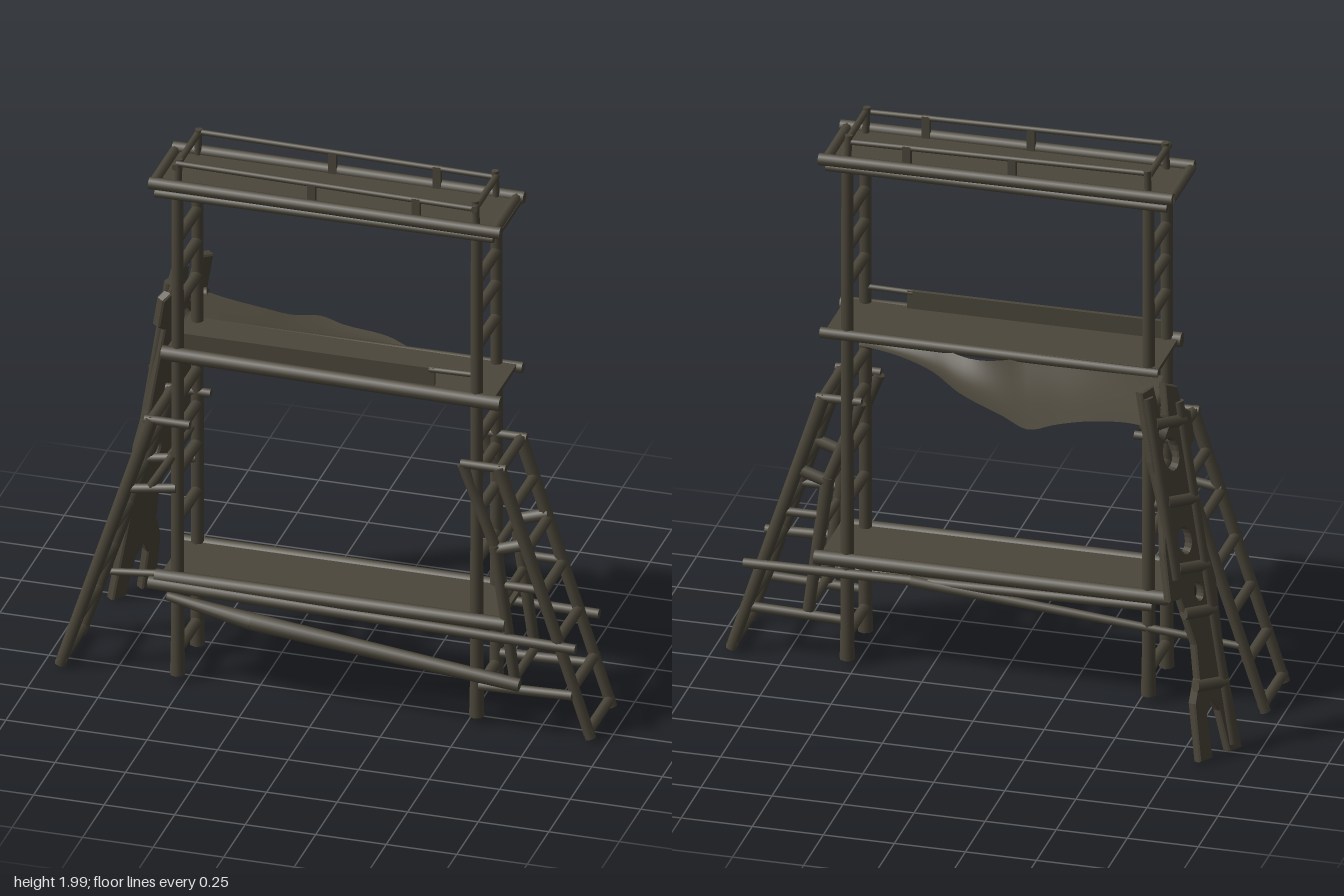
import * as THREE from 'three';

export function createModel() {
  const group = new THREE.Group();
  const wood = new THREE.MeshStandardMaterial({ color: 0x4b463a, side: THREE.DoubleSide });
  wood.name = 'weathered wood';
  const add = (name, geometry) => {
    const mesh = new THREE.Mesh(geometry, wood);
    mesh.name = name;
    group.add(mesh);
    return mesh;
  };
  const box = (name, x0, x1, y0, y1, z0, z1) =>
    add(name, new THREE.BoxGeometry(x1 - x0, y1 - y0, z1 - z0))
      .position.set((x0 + x1) / 2, (y0 + y1) / 2, (z0 + z1) / 2);
  // Round pole between two points, optionally tapered
  const pole = (name, a, b, r, r2 = r) => {
    const p = new THREE.Vector3(...a), q = new THREE.Vector3(...b);
    const d = q.clone().sub(p);
    const mesh = add(name, new THREE.CylinderGeometry(r2, r, d.length(), 8));
    mesh.position.copy(p).add(q).multiplyScalar(0.5);
    mesh.quaternion.setFromUnitVectors(new THREE.Vector3(0, 1, 0), d.normalize());
  };

  const zFront = 0.295, zBack = 0.065;

  // Tower posts and their rungs
  for (const s of [-1, 1]) {
    const x = 0.53 * s;
    for (const z of [zFront, zBack]) {
      pole('post', [x, 0.03, z], [x, 1.9, z], 0.024, 0.021);
      pole('postFoot', [x, 0.03, z], [x, 0.17, z], 0.027, 0.024);
      pole('railPost', [x, 1.88, z], [x * 0.99, 1.995, z], 0.013);
    }
    for (const y of [0.12, 0.36, 0.62, 0.8, 0.95, 1.08, 1.24, 1.44, 1.57, 1.69, 1.86])
      pole('postRung', [x, y, zBack], [x, y, zFront], 0.02);
    pole('endRail', [x, 1.975, zBack], [x, 1.975, zFront + 0.03], 0.012);
  }

  // Top platform with guard rails
  box('topDeck', -0.6, 0.62, 1.885, 1.9, 0.05, 0.32);
  for (const z of [0.05, 0.325]) {
    pole('topBeam', [-0.62, 1.905, z], [0.625, 1.9, z], 0.022);
    pole('topLowerBeam', [-0.6, 1.87, z], [0.6, 1.875, z], 0.016);
  }
  for (const x of [-0.61, 0.6]) pole('topCrossBeam', [x, 1.9, 0.05], [x, 1.9, 0.32], 0.018);
  for (const z of [zBack, 0.31]) {
    pole('guardRail', [-0.53, 1.985, z], [0.53, 1.97, z], 0.01);
    for (const x of [-0.05, 0.32]) box('baluster', x - 0.014, x + 0.014, 1.9, 1.98, z - 0.01, z + 0.01);
  }

  // Middle platform
  box('middleDeck', -0.57, 0.6, 1.25, 1.265, 0.045, 0.31);
  pole('middleFrontBeam', [-0.58, 1.255, 0.31], [0.62, 1.24, 0.31], 0.027);
  pole('middleBackBeam', [-0.57, 1.245, 0.05], [0.62, 1.25, 0.05], 0.02);
  box('middleFrontBoard', -0.52, 0.38, 1.26, 1.33, 0.28, 0.295);
  pole('middleRail', [0.36, 1.322, 0.288], [0.53, 1.325, 0.288], 0.01);

  // Lower platform with its braces
  box('lowerDeck', -0.58, 0.62, 0.405, 0.42, 0.045, 0.32);
  for (const z of [0.05, 0.32]) pole('lowerBeam', [-0.6, 0.405, z], [0.64, 0.405, z], 0.026);
  pole('longFrontBeam', [-0.62, 0.385, 0.335], [0.89, 0.35, 0.325], 0.024, 0.018);
  pole('longBackBeam', [-0.55, 0.37, 0.045], [0.89, 0.35, 0.05], 0.018);
  pole('frontBrace', [-0.55, 0.35, 0.35], [-0.25, 0.3, 0.355], 0.016, 0.032);
  pole('frontBrace', [-0.25, 0.3, 0.355], [0.7, 0.2, 0.355], 0.032, 0.024);
  pole('backBrace', [-0.85, 0.255, 0.06], [0.3, 0.36, 0.04], 0.013, 0.02);
  for (const z of [0.08, 0.33]) pole('footBrace', [0.55, 0.165, z], [0.88, 0.175, z], 0.018);

  // Leaning side ladders
  for (const s of [-1, 1]) {
    const top = [0.615 * s, 1.0], foot = [0.94 * s, 0.015];
    for (const z of [0.07, 0.315]) {
      pole('ladderRail', [top[0], top[1], z], [foot[0], foot[1], z], 0.024, 0.02);
      pole('ladderTopBar', [0.48 * s, 0.995, z], [0.64 * s, 0.995, z], 0.016);
    }
    for (const y of [0.04, 0.2, 0.37, 0.54, 0.7, 0.85, 0.99]) {
      const x = foot[0] + (top[0] - foot[0]) * (y - foot[1]) / (top[1] - foot[1]);
      pole('ladderRung', [x, y, 0.06], [x, y, 0.325], 0.019);
    }
  }
  // Inner struts of the left ladder
  for (const z of [0.075, 0.31]) {
    pole('innerStrut', [0.485, 0.99, z], [0.6, 0.69, z], 0.02);
    pole('innerStrut', [0.6, 0.7, z], [0.67, 0.19, z], 0.024, 0.02);
    pole('innerTie', [0.6, 0.68, z], [0.72, 0.72, z], 0.022);
    pole('innerTie', [0.62, 0.55, z], [0.76, 0.55, z], 0.016);
  }
  for (const [x, y] of [[0.6, 0.68], [0.63, 0.5], [0.67, 0.2]])
    pole('innerRung', [x, y, 0.07], [x, y, 0.31], 0.016);
  // Struts of the right ladder
  for (const z of [0.075, 0.31]) {
    pole('sideStrut', [-0.72, 0.715, z], [-0.53, 0.745, z], 0.017);
    pole('sideStrut', [-0.62, 0.74, z], [-0.54, 0.87, z], 0.015);
  }

  // Sagging sheet behind the middle platform, spanned between two edges
  const outer = new THREE.CatmullRomCurve3([
    [-0.61, 1.2, -0.27], [-0.53, 1.195, -0.25], [-0.4, 1.18, -0.245], [-0.29, 1.16, -0.26],
    [-0.21, 1.15, -0.3], [-0.1, 1.16, -0.24], [0.07, 1.185, -0.16], [0.2, 1.205, -0.055],
    [0.33, 1.22, 0], [0.48, 1.23, 0.03]].map(p => new THREE.Vector3(...p)));
  const cols = 40, rows = 8;
  const sheet = new THREE.PlaneGeometry(1, 1, cols, rows);
  const pos = sheet.attributes.position;
  for (let j = 0; j <= rows; j++) for (let i = 0; i <= cols; i++) {
    const u = i / cols, v = j / rows, o = outer.getPoint(u);
    const x0 = -0.585 + 1.065 * u;
    const gap = Math.abs(x0 - 0.05) < 0.13 ? 0.05 * Math.cos((x0 - 0.05) / 0.13 * Math.PI / 2) : 0;
    const z0 = 0.05 - gap;
    const sag = 0.02 * Math.sin(Math.PI * v) * Math.sin(Math.PI * u);
    pos.setXYZ(j * (cols + 1) + i, x0 + (o.x - x0) * v, 1.24 + (o.y - 1.24) * v - sag, z0 + (o.z - z0) * v);
  }
  sheet.computeVertexNormals();
  add('saggingSheet', sheet);
  pole('sheetHook', [-0.59, 1.2, -0.26], [-0.68, 1.17, -0.25], 0.02, 0.028);

  // Worn leaning board, outlined across its width (x) and length (y)
  const board = new THREE.Shape();
  board.moveTo(0, 0);
  [[0.05, 0], [0.065, 0.15], [0.095, 0.2], [0.125, 0.15], [0.13, 0], [0.18, 0], [0.165, 0.2], [0.13, 0.28],
    [0.12, 0.4], [0.155, 0.58], [0.2, 0.58], [0.19, 0.75], [0.165, 0.9], [0.18, 1.07], [0.18, 1.32],
    [0.13, 1.33], [0.12, 1.22], [0.085, 1.21], [0.075, 1.32], [0.03, 1.3], [0.02, 1.22], [-0.01, 1.2],
    [-0.01, 1.1], [0.02, 1.08], [0.015, 0.75], [-0.005, 0.6], [0.01, 0.35]]
    .forEach(p => board.lineTo(...p));
  for (const [x, y, rx, ry] of [[0.1, 1.08, 0.035, 0.06], [0.1, 0.77, 0.03, 0.05], [0.075, 0.58, 0.02, 0.035]]) {
    const hole = new THREE.Path();
    hole.absellipse(x, y, rx, ry, 0, Math.PI * 2, true);
    board.holes.push(hole);
  }
  const boardGeometry = new THREE.ExtrudeGeometry(board, {
    depth: 0.025, bevelEnabled: true, bevelSize: 0.005, bevelThickness: 0.006, bevelSegments: 1, curveSegments: 8,
  });
  const across = new THREE.Vector3(0.55, 0, -0.83).normalize();
  const along = new THREE.Vector3(0.17, 1, 0.05);
  const out = new THREE.Vector3().crossVectors(across, along).normalize();
  boardGeometry.applyMatrix4(new THREE.Matrix4().makeBasis(across, along, out).setPosition(-0.93, 0.015, -0.215));
  add('leaningBoard', boardGeometry);
  // Lumps of broken wood along the board
  const at = (w, h) => across.clone().multiplyScalar(w).addScaledVector(along, h)
    .add(new THREE.Vector3(-0.93, 0.015, -0.215)).toArray();
  pole('boardSpine', at(0.03, 0.02), at(0.03, 1.25), 0.02);
  pole('boardSpine', at(0.16, 0.65), at(0.16, 1.3), 0.022);
  for (const h of [0.24, 0.5, 0.66, 0.9, 1.18]) pole('boardRung', at(0.02, h), at(0.15, h + 0.02), 0.022);

  return group;
}
